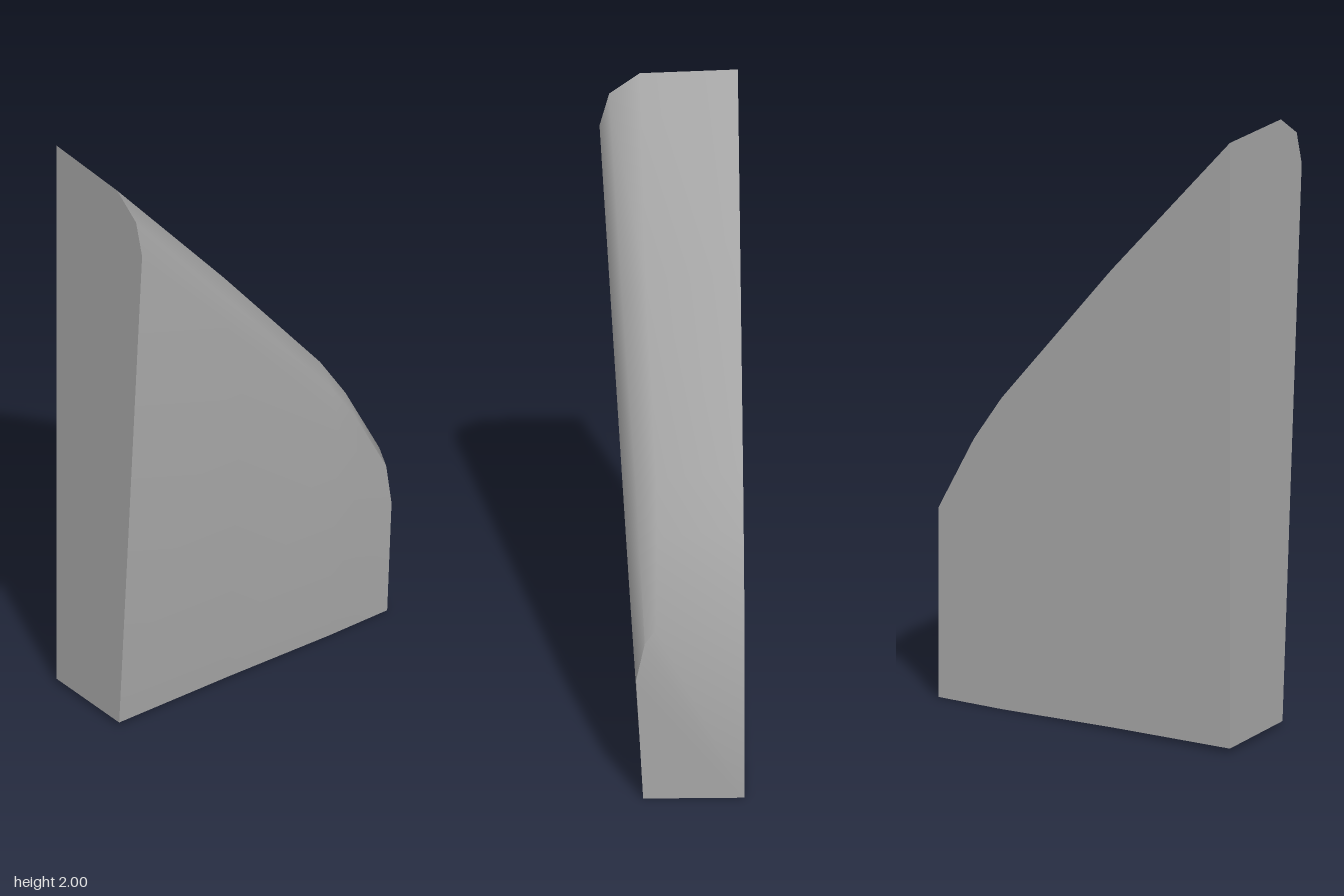
import * as THREE from 'three';
import { toCreasedNormals } from 'three/addons/utils/BufferGeometryUtils.js';

const BACK = -0.215;

// Each station along x: bottom y, back top y, then (z, y) of the rounded front edge
const STATIONS = [
  { x: -0.53, base: 0.015, top: 2.0, edge: [[0.09, 1.99], [0.185, 1.92], [0.215, 1.81]] },
  { x: -0.1, base: 0.01, top: 1.51, edge: [[0.08, 1.485], [0.152, 1.41], [0.182, 1.3]] },
  { x: 0.3, base: 0, top: 1.02, edge: [[0.055, 0.995], [0.115, 0.925], [0.15, 0.81]] },
  { x: 0.4, base: 0, top: 0.87, edge: [[0.055, 0.84], [0.108, 0.775], [0.139, 0.64]] },
  { x: 0.53, base: 0, top: 0.62, edge: [[0.06, 0.585], [0.095, 0.535], [0.122, 0.41]] },
];

// Loft the closed cross-sections and cap both ends
function loftPanel() {
  const positions = [];
  const index = [];
  for (const { x, base, top, edge } of STATIONS) {
    const section = [[BACK, base], [BACK, top], ...edge, [0.1, base]];
    for (const [z, y] of section) positions.push(x, y, z);
  }
  const n = 6;
  const last = (STATIONS.length - 1) * n;
  for (let s = 0; s < last; s += n) {
    for (let i = 0; i < n; i++) {
      const a = s + i;
      const b = s + ((i + 1) % n);
      index.push(a, b, a + n, b, b + n, a + n);
    }
  }
  for (let i = 1; i < n - 1; i++) {
    index.push(0, i + 1, i);
    index.push(last, last + i, last + i + 1);
  }
  const geometry = new THREE.BufferGeometry();
  geometry.setAttribute('position', new THREE.Float32BufferAttribute(positions, 3));
  geometry.setIndex(index);
  return toCreasedNormals(geometry, 0.8);
}

export function createModel() {
  const group = new THREE.Group();
  group.name = 'slopedPanel';
  const grey = new THREE.MeshStandardMaterial({ color: 0xa6a6a6 });
  grey.name = 'plain grey';
  const panel = new THREE.Mesh(loftPanel(), grey);
  panel.name = 'taperedPanel';
  group.add(panel);
  return group;
}
